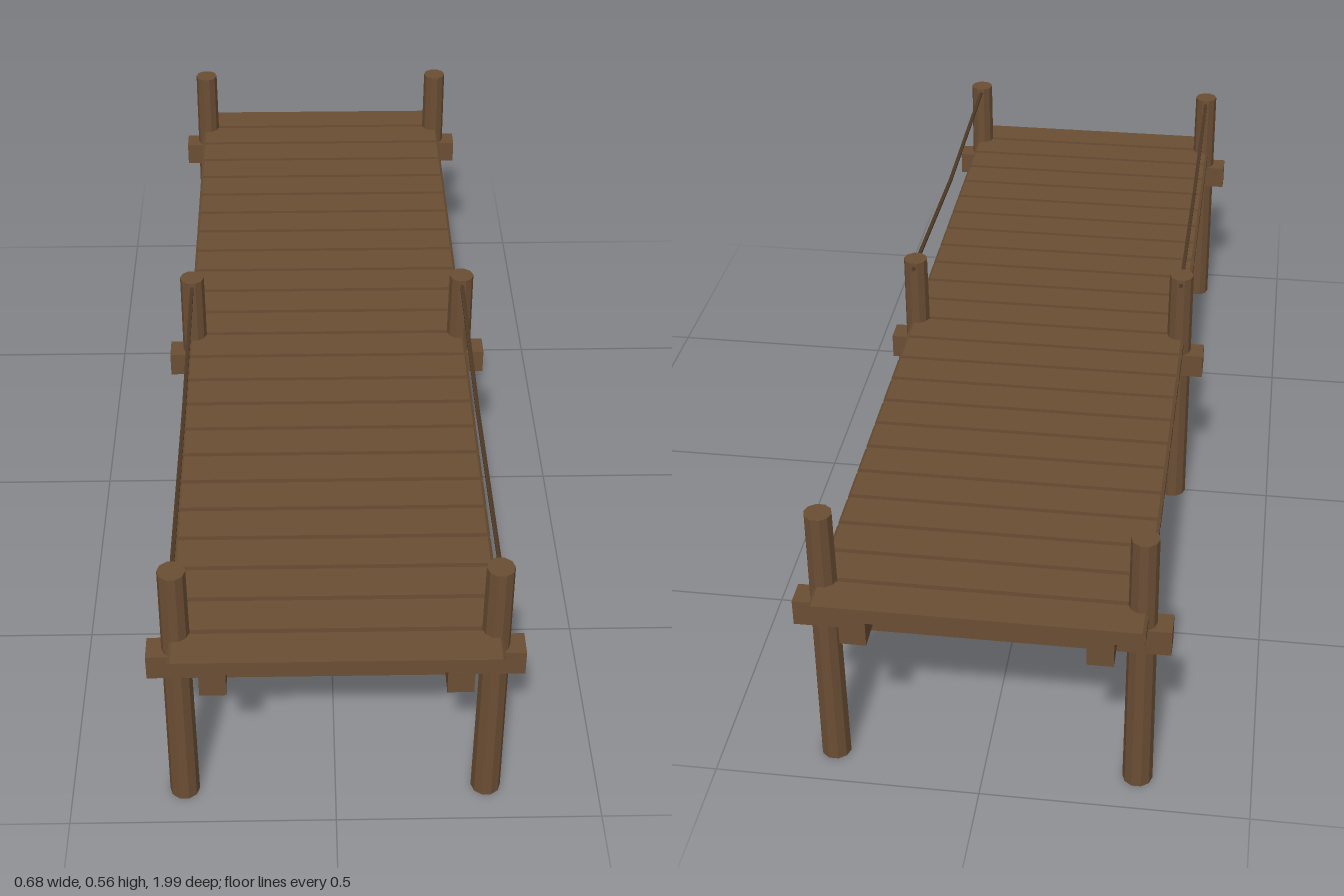
import * as THREE from 'three';

export function createModel() {
  const dock = new THREE.Group();
  dock.name = 'dock';
  const wood = new THREE.MeshStandardMaterial({ color: 0x6b4e34, flatShading: true });
  wood.name = 'brown wood';
  const ropeColour = new THREE.MeshStandardMaterial({ color: 0x503a26, flatShading: true });
  ropeColour.name = 'dark rope';

  const add = (name, geometry, material, x, y, z) => {
    const mesh = new THREE.Mesh(geometry, material);
    mesh.name = name;
    mesh.position.set(x, y, z);
    dock.add(mesh);
    return mesh;
  };

  const POST_X = 0.287;
  const POST_Z = 11 / 12;

  // Deck planks: chamfered ends, evenly spaced with narrow gaps
  const count = 24, pitch = 2 / count, width = 0.073;
  const hx = 0.298, hy = 0.015, c = 0.006;
  const profile = new THREE.Shape([
    [-hx, -hy + c], [-hx + c, -hy], [hx - c, -hy], [hx, -hy + c],
    [hx, hy - c], [hx - c, hy], [-hx + c, hy], [-hx, hy - c],
  ].map(([x, y]) => new THREE.Vector2(x, y)));
  const plank = new THREE.ExtrudeGeometry(profile, { depth: width, bevelEnabled: false });
  plank.translate(0, 0, -width / 2);
  for (let i = 0; i < count; i++) {
    add('plank', plank, wood, 0, 0.398, -1 + pitch * (i + 0.5));
  }

  // Long stringers under the deck
  const stringer = new THREE.BoxGeometry(0.048, 0.05, 1.99);
  for (const s of [-1, 1]) add('stringer', stringer, wood, s * 0.22, 0.358, 0);

  // Crossbeams with a pair of ten-sided posts each
  const beam = new THREE.BoxGeometry(0.682, 0.052, 0.05);
  const post = new THREE.CylinderGeometry(0.0253, 0.0282, 0.56, 10);
  post.rotateY(Math.PI / 10);
  for (const z of [-POST_Z, 0, POST_Z]) {
    add('crossbeam', beam, wood, 0, 0.349, z);
    for (const s of [-1, 1]) add('post', post, wood, s * POST_X, 0.28, z);
  }

  // Rope rails on the front half, sagging at the middle
  const ropePoints = [[0.91, 0.549], [0.434, 0.53], [-0.03, 0.549]];
  const up = new THREE.Vector3(0, 1, 0);
  for (const s of [-1, 1]) {
    for (let i = 0; i < 2; i++) {
      const [a, b] = [ropePoints[i], ropePoints[i + 1]]
        .map(([z, y]) => new THREE.Vector3(s * POST_X, y, z));
      const dir = b.clone().sub(a);
      const mid = a.clone().add(b).multiplyScalar(0.5);
      const rope = add('rope', new THREE.CylinderGeometry(0.0045, 0.0045, dir.length(), 6),
        ropeColour, mid.x, mid.y, mid.z);
      rope.quaternion.setFromUnitVectors(up, dir.normalize());
    }
  }
  return dock;
}
